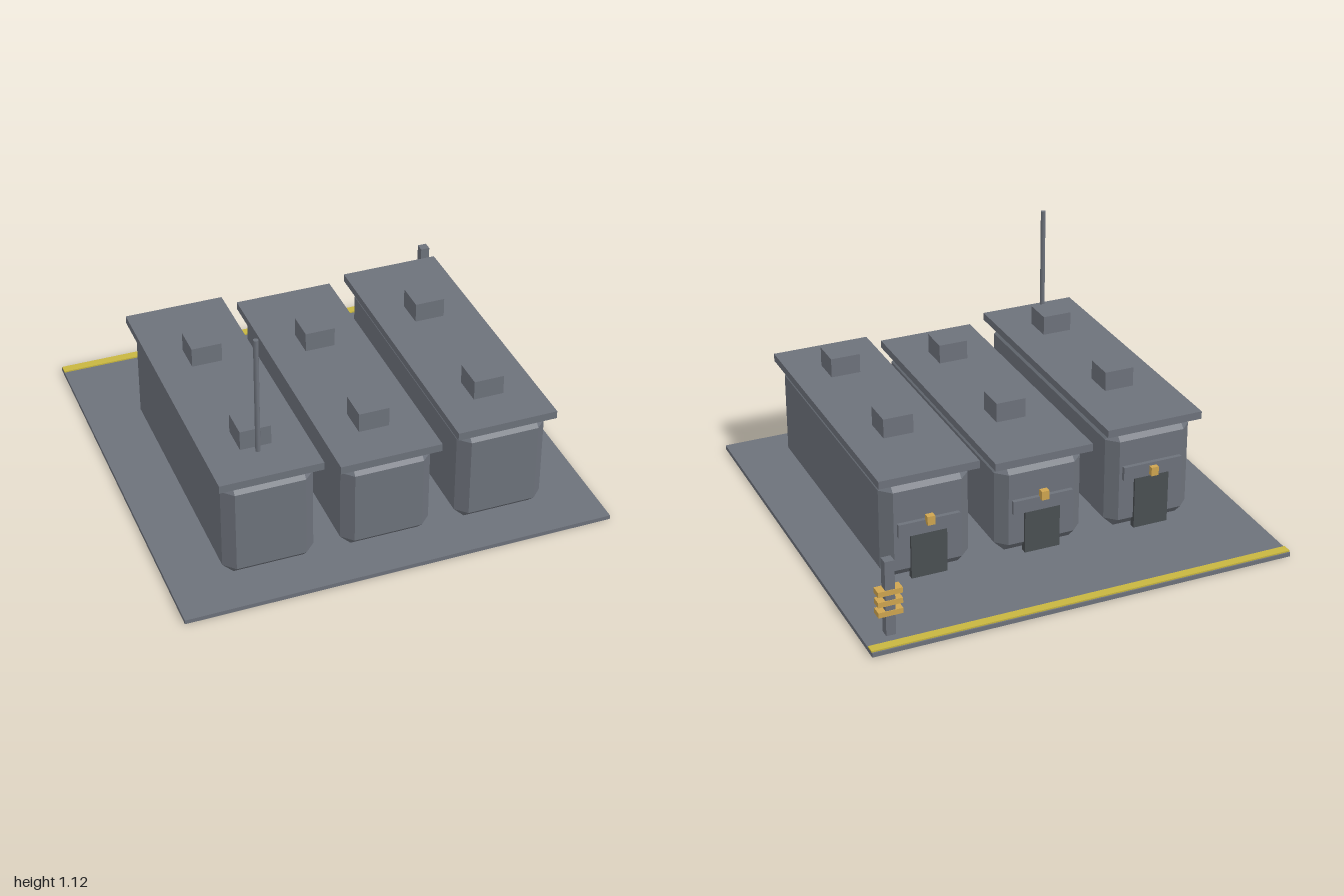
import * as THREE from 'three';
import { ConvexGeometry } from 'three/addons/geometries/ConvexGeometry.js';

const material = (name, color) => {
  const m = new THREE.MeshStandardMaterial({ color });
  m.name = name;
  return m;
};

// Box given by its lower and upper limits on each axis
function box(name, mat, [x0, x1], [y0, y1], [z0, z1]) {
  const mesh = new THREE.Mesh(new THREE.BoxGeometry(x1 - x0, y1 - y0, z1 - z0), mat);
  mesh.position.set((x0 + x1) / 2, (y0 + y1) / 2, (z0 + z1) / 2);
  mesh.name = name;
  return mesh;
}

const around = (c, size) => [c - size / 2, c + size / 2];

// Box with every edge cut by a flat chamfer, standing on y = 0
function chamferedBox(w, h, d, c) {
  const points = [];
  for (const sx of [-1, 1]) for (const sz of [-1, 1]) for (const sy of [-1, 1]) {
    const x = w / 2, y = h / 2, z = d / 2;
    for (const [a, b, e] of [[0, c, c], [c, 0, c], [c, c, 0]]) {
      points.push(new THREE.Vector3(sx * (x - a), y + sy * (y - b), sz * (z - e)));
    }
  }
  return new ConvexGeometry(points);
}

export function createModel() {
  const model = new THREE.Group();
  model.name = 'hutCompound';
  const grey = material('slate grey', 0x6d727b);
  const dark = material('dark door grey', 0x4a4f52);
  const amber = material('amber', 0xcfa550);
  const yellow = material('warning yellow', 0xc8b640);

  // Ground slab with a painted edge along the back
  model.add(box('groundSlab', grey, [-1, 1], [0, 0.02], [-1, 1]));
  model.add(box('edgeStripe', yellow, [-1, 1], [0.02, 0.027], [-0.993, -0.95]));

  // Three huts: centre x, height of the roof's underside, bottom of the door canopy
  const huts = [[-0.545, 0.52, 0.28], [0, 0.473, 0.23], [0.545, 0.508, 0.24]];
  for (const [x, eave, canopyY] of huts) {
    const hut = new THREE.Group();
    hut.name = 'hut';
    const body = new THREE.Mesh(chamferedBox(0.42, eave - 0.02, 1.325, 0.05), grey);
    body.name = 'hutBody';
    body.position.set(x, 0.02, 0.155);
    hut.add(body);

    const top = eave + 0.037;
    hut.add(box('roof', grey, around(x, 0.47), [eave, top], [-0.535, 0.84]));
    for (const z of [-0.105, 0.56]) {
      hut.add(box('roofVent', grey, around(x, 0.142), [top, top + 0.093], around(z, 0.142)));
    }

    // Back entrance
    hut.add(box('door', dark, around(x, 0.17), [0.02, 0.285], [-0.52, -0.49]));
    hut.add(box('doorCanopy', grey, around(x, 0.29), [canopyY, canopyY + 0.065], [-0.527, -0.5]));
    hut.add(box('doorLamp', amber, around(x, 0.036), [0.287, 0.33], [-0.55, -0.52]));
    model.add(hut);
  }

  // Mast on the tallest hut
  const mast = new THREE.Mesh(new THREE.CylinderGeometry(0.012, 0.012, 0.57, 8), grey);
  mast.name = 'mast';
  mast.position.set(-0.545, 0.84, 0.66);
  model.add(mast);

  // Post with three cross bars in the back corner
  const post = new THREE.Group();
  post.name = 'cornerPost';
  post.add(box('postShaft', grey, around(0.877, 0.044), [0.02, 0.38], around(-0.88, 0.044)));
  for (const y of [0.13, 0.18, 0.23]) {
    post.add(box('crossBar', amber, around(0.877, 0.112), around(y, 0.025), around(-0.88, 0.05)));
  }
  model.add(post);

  return model;
}
